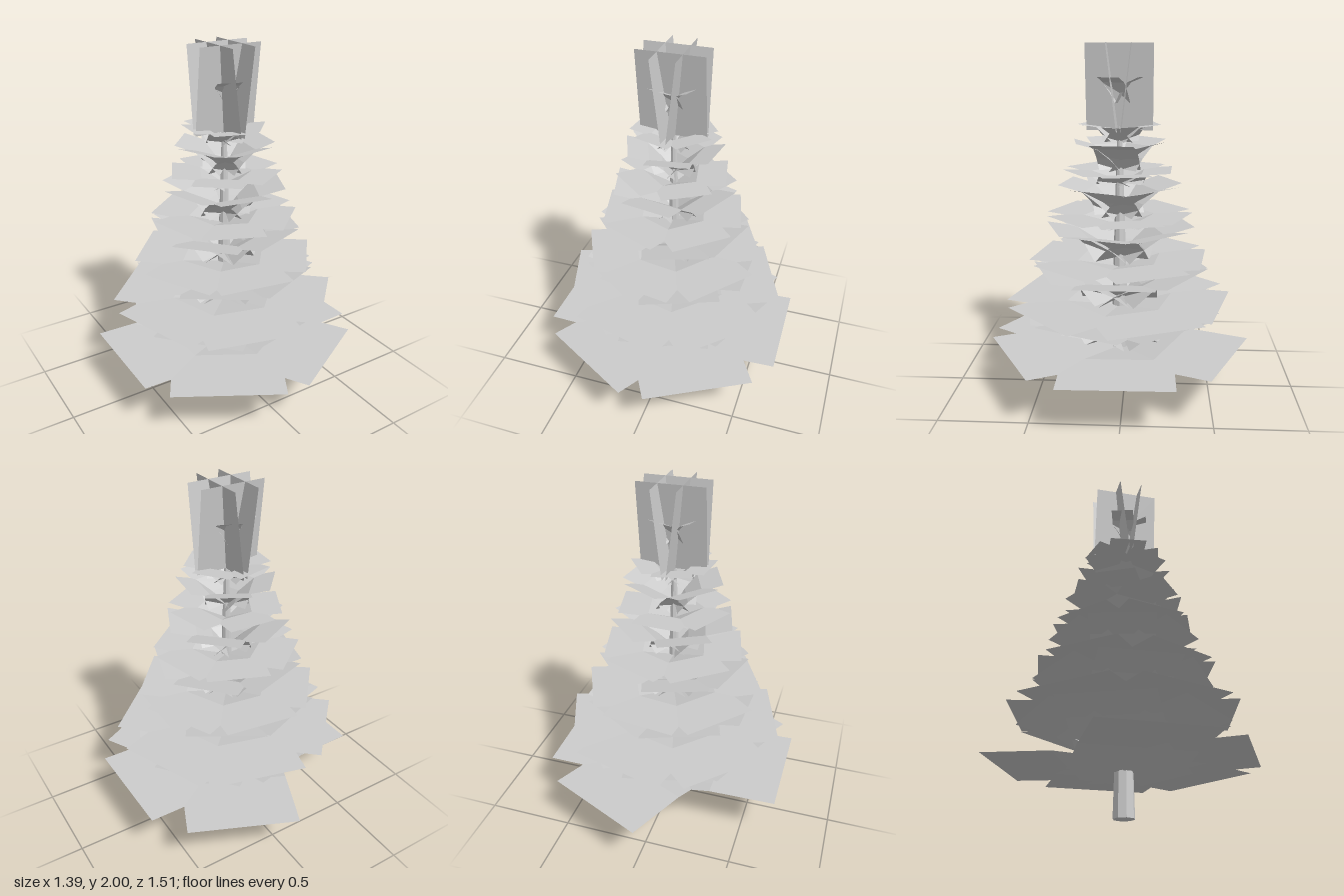
import * as THREE from 'three';

const CX = -0.01, CZ = 0.03; // trunk axis

// A bent rectangular card running outwards along +x, following a list of [reach, height] points.
function cardGeometry(profile, width) {
  const g = new THREE.PlaneGeometry(1, 1, profile.length - 1, 1);
  const p = g.attributes.position;
  for (let i = 0; i < p.count; i++) {
    const [r, y] = profile[i % profile.length];
    p.setXYZ(i, r, y, i < profile.length ? -width / 2 : width / 2);
  }
  g.computeVertexNormals();
  return g;
}

export function createModel() {
  const group = new THREE.Group();
  const foliage = new THREE.MeshStandardMaterial({ color: 0xcccccc, flatShading: true, side: THREE.DoubleSide });
  foliage.name = 'foliage grey';
  const bark = new THREE.MeshStandardMaterial({ color: 0xcfcfcf, flatShading: true });
  bark.name = 'bark grey';

  // Tapering trunk
  const trunk = new THREE.Mesh(new THREE.CylinderGeometry(0.008, 0.06, 1.72, 8), bark);
  trunk.name = 'trunk';
  trunk.position.set(CX, 0.86, CZ);
  group.add(trunk);

  // Bent shapes as fractions of reach and height
  const bowl = [[0.02, 0], [0.25, 0.42], [0.55, 0.8], [1, 1]];
  const flat = [[0.02, 0], [0.45, 0.85], [1, 1]];

  // Tiers: shape, bottom y, top y, reach, card width, card angles in degrees
  const ring = (count, start) => Array.from({ length: count }, (_, i) => start + i * 360 / count + 4 * Math.sin(i * 2.3 + start));
  const tiers = [
    [flat, 0.24, 0.30, 0.69, 0.62, [-1, 61, 120, 180, 294]],
    [bowl, 0.31, 0.50, 0.53, 0.50, ring(6, 20)],
    [flat, 0.50, 0.555, 0.60, 0.54, [-22, 45, 105, 162, 224, 285]],
    [bowl, 0.55, 0.745, 0.46, 0.44, ring(6, 5)],
    [flat, 0.74, 0.805, 0.48, 0.42, ring(6, 38)],
    [bowl, 0.80, 0.99, 0.39, 0.36, ring(6, 15)],
    [flat, 0.99, 1.06, 0.38, 0.34, ring(6, 50)],
    [bowl, 1.05, 1.23, 0.32, 0.29, ring(5, 25)],
    [flat, 1.23, 1.31, 0.29, 0.27, ring(5, 60)],
    [bowl, 1.31, 1.47, 0.25, 0.24, ring(5, 10)],
    [flat, 1.47, 1.565, 0.21, 0.21, ring(5, 40)],
    [bowl, 1.68, 1.82, 0.14, 0.13, ring(4, 20)],
  ];
  tiers.forEach(([shape, y0, y1, reach, width, angles], t) => {
    const tier = new THREE.Group();
    tier.name = `branchTier${t + 1}`;
    tier.position.set(CX, y0, CZ);
    const geo = cardGeometry(shape.map(([r, h]) => [r * reach, h * (y1 - y0)]), width);
    angles.forEach((deg, i) => {
      const card = new THREE.Mesh(geo, foliage);
      card.name = `branch${i + 1}`;
      card.rotation.y = -deg * Math.PI / 180;
      tier.add(card);
    });
    group.add(tier);
  });

  // Four upright crossed cards at the tip, leaning outwards
  const crown = new THREE.Group();
  crown.name = 'crown';
  crown.position.set(CX, 1.53, CZ);
  const upright = cardGeometry([[0.01, 0], [0.067, 0.47]], 0.37);
  for (let i = 0; i < 4; i++) {
    const card = new THREE.Mesh(upright, foliage);
    card.name = `crownCard${i + 1}`;
    card.rotation.y = i * Math.PI / 2;
    crown.add(card);
  }
  group.add(crown);
  return group;
}
